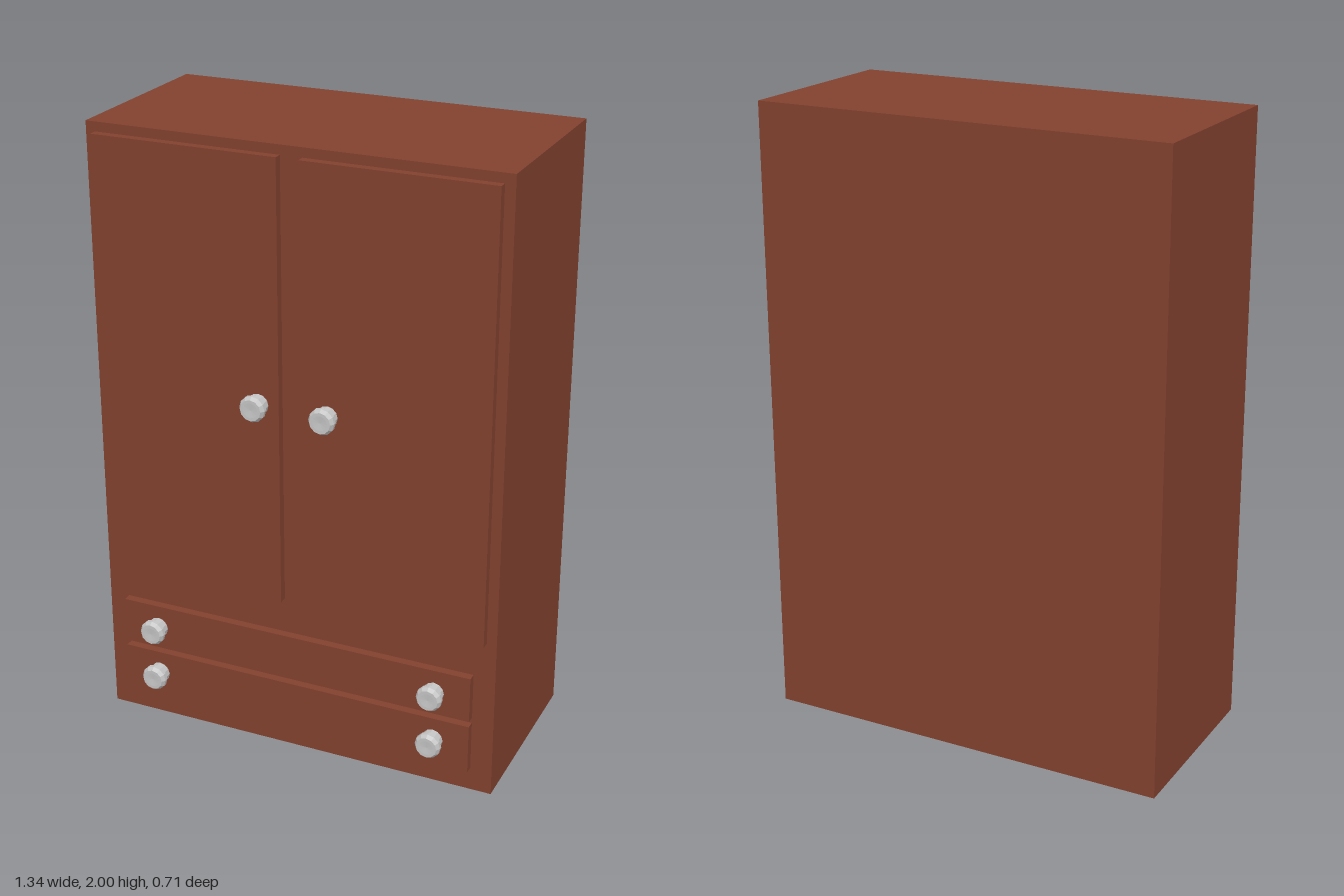
import * as THREE from 'three';

export function createModel() {
  const wood = new THREE.MeshStandardMaterial({ color: 0x82412e });
  wood.name = 'red brown wood';
  const metal = new THREE.MeshStandardMaterial({ color: 0xc4c4c4 });
  metal.name = 'silver metal';
  metal.flatShading = true;

  const wardrobe = new THREE.Group();
  wardrobe.name = 'wardrobe';

  // Box given by its limits on each axis
  const addBox = (name, x0, x1, y0, y1, z0, z1) => {
    const mesh = new THREE.Mesh(new THREE.BoxGeometry(x1 - x0, y1 - y0, z1 - z0), wood);
    mesh.position.set((x0 + x1) / 2, (y0 + y1) / 2, (z0 + z1) / 2);
    mesh.name = name;
    wardrobe.add(mesh);
  };

  // Cabinet body, doors and drawer fronts
  const front = 0.272, panel = 0.3;
  addBox('cabinet', -0.67, 0.67, 0, 2, -0.355, front);
  addBox('rightDoor', -0.64, -0.035, 0.535, 1.97, front - 0.01, panel);
  addBox('leftDoor', 0.035, 0.638, 0.535, 1.97, front - 0.01, panel);
  addBox('upperDrawer', -0.602, 0.6, 0.263, 0.416, front - 0.01, panel);
  addBox('lowerDrawer', -0.602, 0.6, 0.079, 0.244, front - 0.01, panel);

  // Faceted knob: a short stem flaring into a bevelled head
  const profile = [
    [0.034, -0.005], [0.034, 0.023], [0.042, 0.031],
    [0.042, 0.043], [0.034, 0.055], [0.024, 0.055], [0, 0.053],
  ].map(([r, y]) => new THREE.Vector2(r, y));
  const knobGeometry = new THREE.LatheGeometry(profile, 12).rotateX(Math.PI / 2);

  const knobs = [
    ['rightDoorKnob', -0.103, 1.2], ['leftDoorKnob', 0.124, 1.2],
    ['upperDrawerRightKnob', -0.48, 0.34], ['upperDrawerLeftKnob', 0.482, 0.34],
    ['lowerDrawerRightKnob', -0.48, 0.17], ['lowerDrawerLeftKnob', 0.482, 0.17],
  ];
  for (const [name, x, y] of knobs) {
    const knob = new THREE.Mesh(knobGeometry, metal);
    knob.position.set(x, y, panel);
    knob.name = name;
    wardrobe.add(knob);
  }
  return wardrobe;
}
